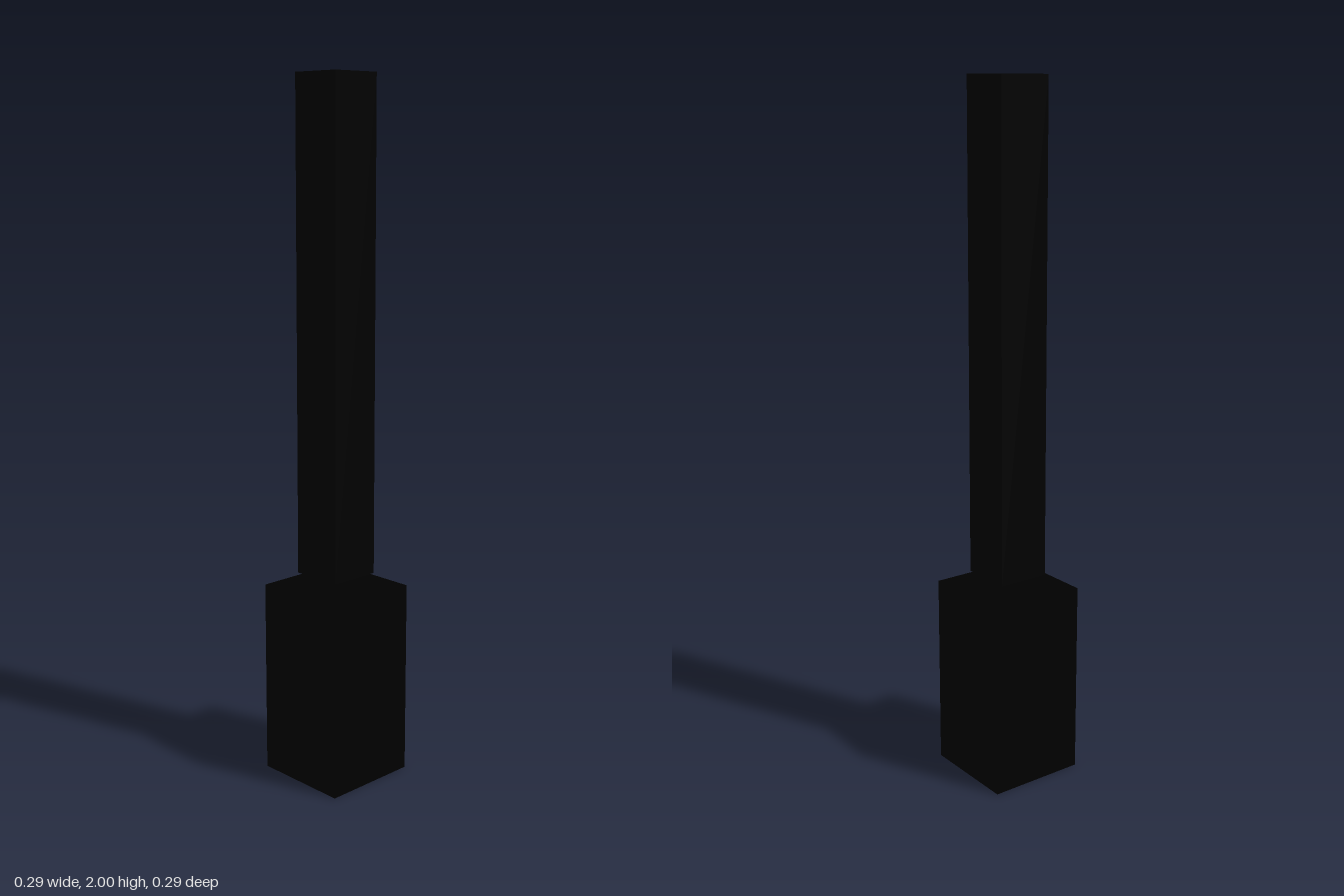
import * as THREE from 'three';

export function createModel() {
  const model = new THREE.Group();
  const black = new THREE.MeshStandardMaterial({ color: 0x000000 });

  // Square block standing between two heights
  function addBlock(name, width, bottom, top) {
    const block = new THREE.Mesh(new THREE.BoxGeometry(width, top - bottom, width), black);
    block.name = name;
    block.position.y = (bottom + top) / 2;
    model.add(block);
  }

  // Wide base, with the slim shaft floating just above it
  addBlock('base', 0.289, 0, 0.566);
  addBlock('shaft', 0.154, 0.603, 2);

  return model;
}
